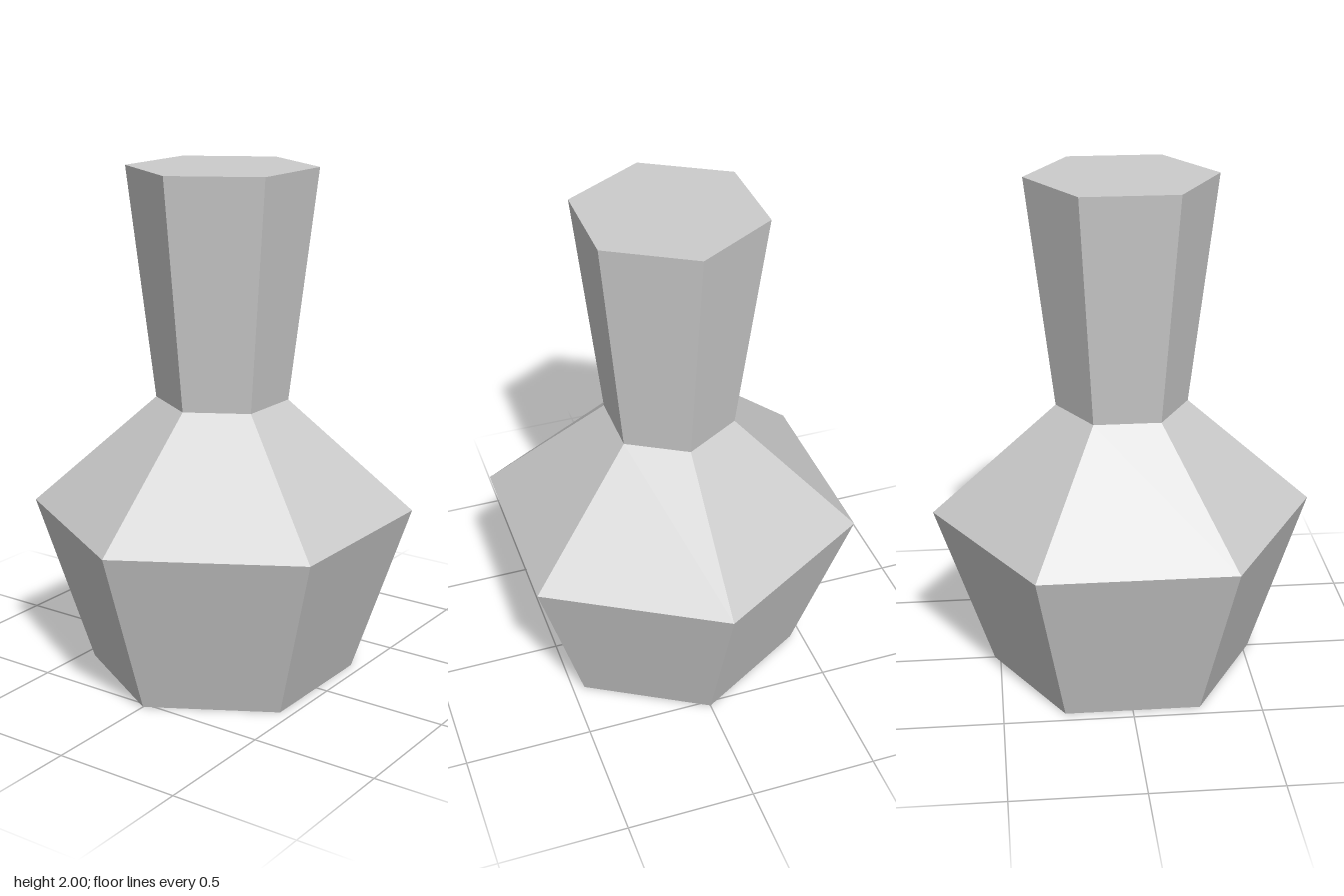
import * as THREE from 'three';

const SIDES = 6;

// Hexagonal turned part with corners on the x axis; profile runs bottom to top as [radius, y]
function hexLathe(name, profile, material) {
  const points = profile.map(([r, y]) => new THREE.Vector2(r, y));
  const mesh = new THREE.Mesh(new THREE.LatheGeometry(points, SIDES, Math.PI / 2), material);
  mesh.name = name;
  return mesh;
}

export function createModel() {
  const group = new THREE.Group();
  group.name = 'vase';
  const material = new THREE.MeshStandardMaterial({ color: 0xcccccc, flatShading: true });

  // Closed base, belly and sloping shoulder
  group.add(hexLathe('body', [[0, 0], [0.523, 0], [0.747, 0.667], [0.257, 1.105]], material));

  // Flaring neck with a flat closed top
  group.add(hexLathe('neck', [[0.257, 1.105], [0.365, 2], [0, 2]], material));

  return group;
}
